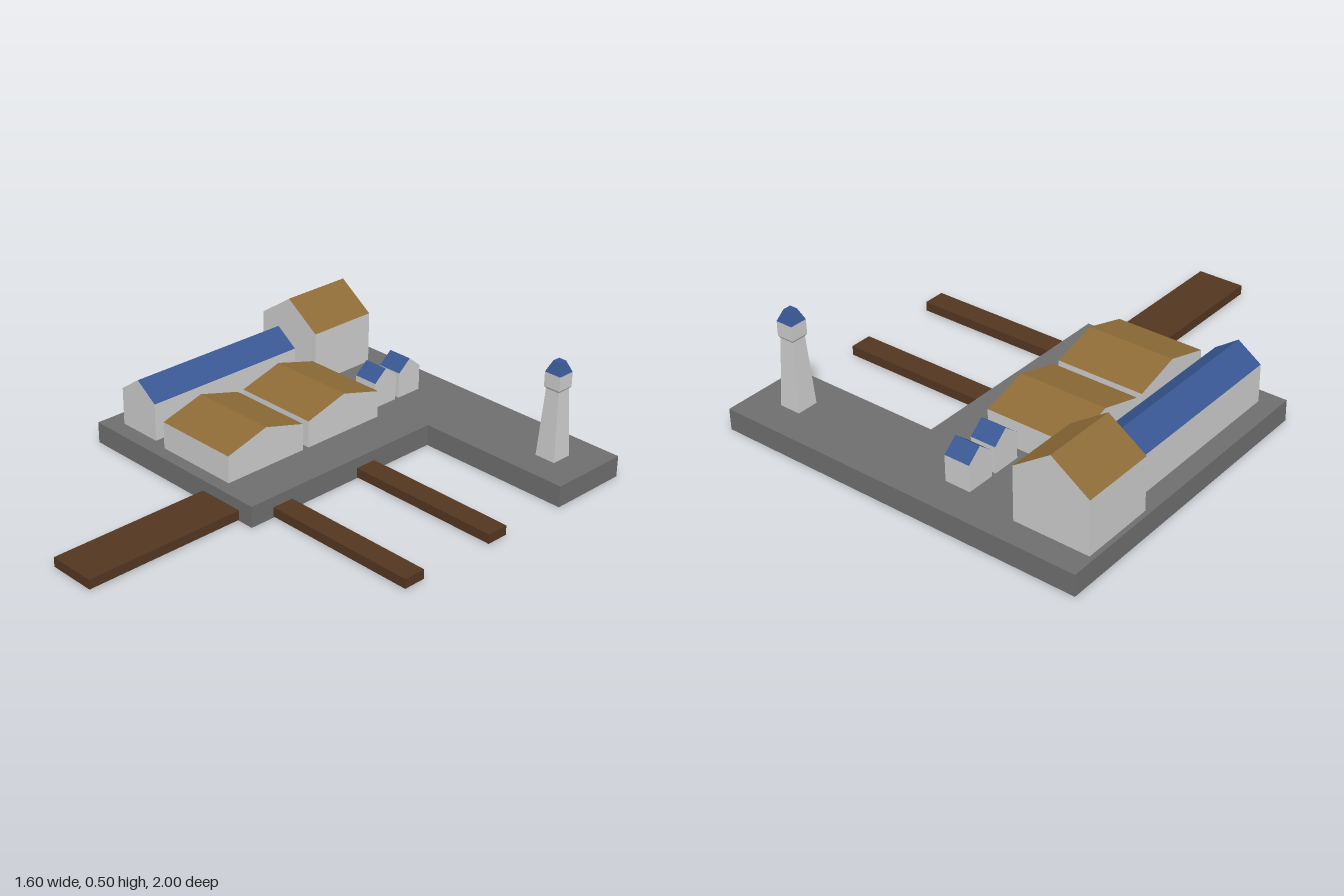
import * as THREE from 'three';

const mat = (color) => new THREE.MeshStandardMaterial({ color, flatShading: true });

// Flat faces from convex polygons, corners counter-clockwise seen from outside
function polygons(faces) {
  const pos = [];
  for (const f of faces)
    for (let i = 1; i < f.length - 1; i++) pos.push(...f[0], ...f[i], ...f[i + 1]);
  const g = new THREE.BufferGeometry();
  g.setAttribute('position', new THREE.Float32BufferAttribute(pos, 3));
  g.computeVertexNormals();
  return g;
}

export function createModel() {
  const model = new THREE.Group();
  const stone = mat(0x6e6e6e), wall = mat(0xcccccc), wood = mat(0x533621);
  const ochre = mat(0x8d6b37), blue = mat(0x375692);
  const ground = 0.09;

  function add(name, geometry, material, parent = model) {
    const mesh = new THREE.Mesh(geometry, material);
    mesh.name = name;
    parent.add(mesh);
    return mesh;
  }

  // L-shaped quay
  const outline = [[-0.8, 1], [-0.8, -0.3], [0.12, -0.3], [0.12, 0.65], [0.8, 0.65], [0.8, 1]];
  const shape = new THREE.Shape(outline.map(([x, y]) => new THREE.Vector2(x, y)));
  add('quay', new THREE.ExtrudeGeometry(shape, { depth: ground, bevelEnabled: false })
    .rotateX(-Math.PI / 2), stone);

  // Wooden piers
  function pier(name, x0, x1, z0, z1) {
    add(name, new THREE.BoxGeometry(x1 - x0, 0.04, z1 - z0), wood)
      .position.set((x0 + x1) / 2, 0.025, (z0 + z1) / 2);
  }
  pier('mainPier', -0.155, 0.05, 0.3, 1);
  pier('sidePierBack', 0.12, 0.8, -0.345, -0.25);
  pier('sidePierFront', 0.12, 0.8, 0.095, 0.19);

  // Gabled building: gables face z, or face x when alongX is set
  function building(name, [x0, x1], [z0, z1], eave, ridge, roofMat, alongX = false) {
    const group = new THREE.Group();
    group.name = name;
    const across = (alongX ? z1 - z0 : x1 - x0) / 2;
    const along = (alongX ? x1 - x0 : z1 - z0) / 2;
    const e = eave - ground, r = ridge - ground;
    const section = [[-across, 0], [across, 0], [across, e], [0, r], [-across, e]];
    const front = section.map(([x, y]) => [x, y, along]);
    const back = section.map(([x, y]) => [x, y, -along]);
    const side = (i) => {
      const j = (i + 1) % 5;
      return [front[i], back[i], back[j], front[j]];
    };
    add('walls', polygons([front, [...back].reverse(), side(0), side(1), side(4)]), wall, group);
    add('roof', polygons([side(2), side(3)]), roofMat, group);
    group.position.set((x0 + x1) / 2, ground, (z0 + z1) / 2);
    if (alongX) group.rotation.y = Math.PI / 2;
    model.add(group);
  }
  building('tallHall', [-0.78, -0.46], [-0.895, -0.58], 0.315, 0.425, ochre);
  building('longHall', [-0.72, -0.52], [-0.52, 0.23], 0.25, 0.32, blue);
  building('warehouseBack', [-0.45, -0.07], [-0.555, -0.17], 0.205, 0.26, ochre, true);
  building('warehouseFront', [-0.45, -0.07], [-0.14, 0.245], 0.205, 0.26, ochre, true);
  building('shedBack', [-0.24, -0.13], [-0.86, -0.74], 0.2, 0.25, blue, true);
  building('shedFront', [-0.24, -0.13], [-0.72, -0.6], 0.2, 0.25, blue, true);

  // Square lighthouse: tapered shaft, lantern room and cap
  const tower = new THREE.Group();
  tower.name = 'lighthouse';
  tower.position.set(0.62, 0, -0.82);
  model.add(tower);
  function frustum(name, bottom, top, y0, y1, material) {
    add(name, new THREE.CylinderGeometry(top * Math.SQRT2, bottom * Math.SQRT2, y1 - y0, 4)
      .rotateY(Math.PI / 4), material, tower).position.y = (y0 + y1) / 2;
  }
  frustum('shaft', 0.046, 0.031, ground, 0.38, wall);
  frustum('lanternFlare', 0.031, 0.037, 0.38, 0.39, wall);
  frustum('lanternRoom', 0.037, 0.037, 0.39, 0.45, wall);
  frustum('cap', 0.037, 0.017, 0.45, 0.497, blue);

  return model;
}
